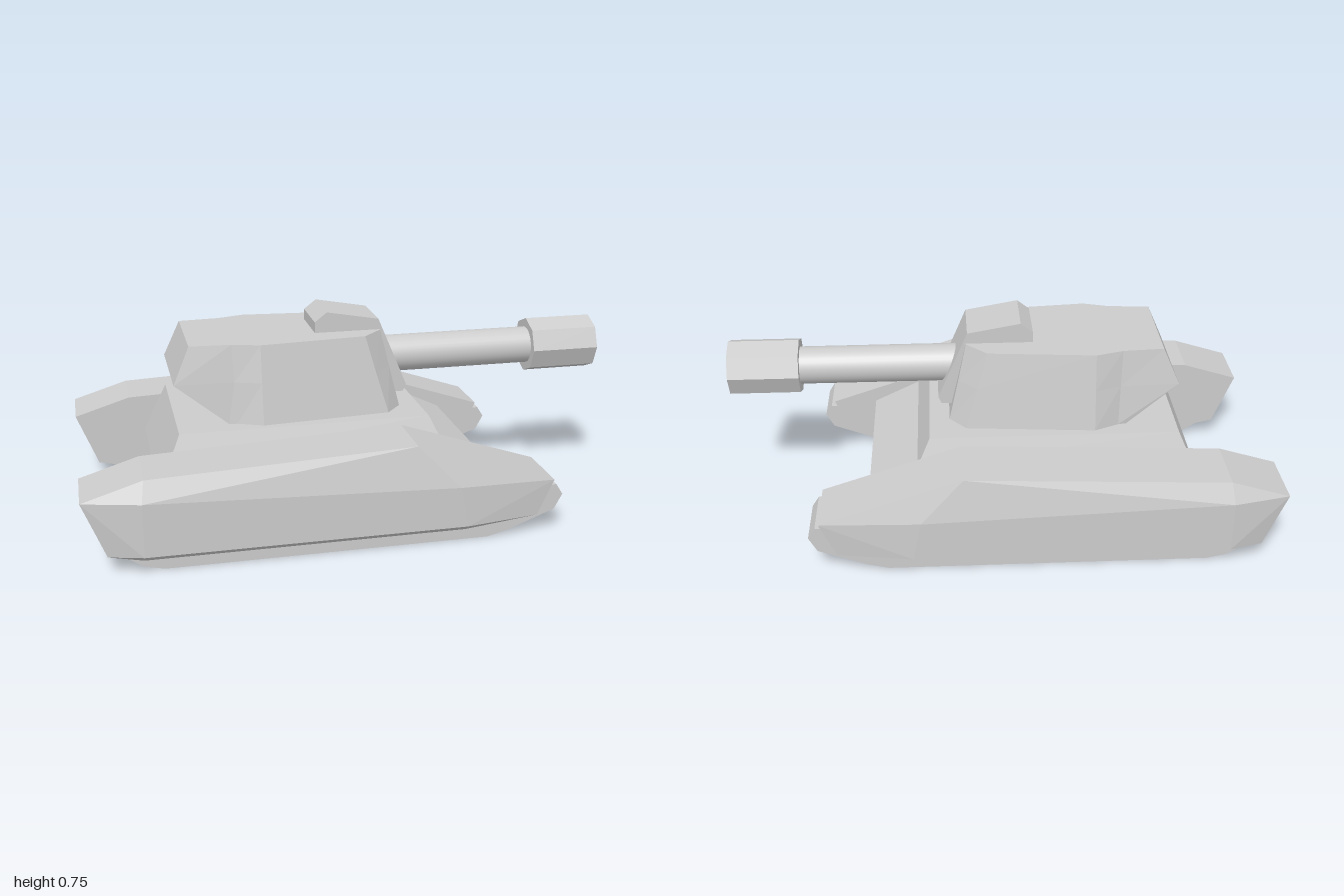
import * as THREE from 'three';
import { ConvexGeometry } from 'three/addons/geometries/ConvexGeometry.js';

const flat = new THREE.MeshStandardMaterial({ color: 0xcccccc, flatShading: true });
const smooth = new THREE.MeshStandardMaterial({ color: 0xcccccc });

function part(name, geometry, material = flat) {
  const mesh = new THREE.Mesh(geometry, material);
  mesh.name = name;
  return mesh;
}

// Faceted solid around a set of corner points
const solid = (points) => new ConvexGeometry(points.map((p) => new THREE.Vector3(...p)));

// Side profile (x, y) extruded between two z values
function slab(profile, z0, z1) {
  const shape = new THREE.Shape(profile.map((p) => new THREE.Vector2(...p)));
  return new THREE.ExtrudeGeometry(shape, { depth: z1 - z0, bevelEnabled: false }).translate(0, 0, z0);
}

// Skin over stacked rings of equal point count, closed by fans top and bottom
function loft(rings) {
  const n = rings[0].length;
  const pos = rings.flat(2);
  const idx = [];
  for (let r = 0; r < rings.length - 1; r++) {
    for (let i = 0; i < n; i++) {
      const a = r * n + i, b = r * n + (i + 1) % n;
      idx.push(a, b, b + n, a, b + n, a + n);
    }
  }
  const last = (rings.length - 1) * n;
  const centre = rings.length * n;
  pos.push(-0.2, rings[0][0][1], 0, -0.2, rings[rings.length - 1][0][1], 0);
  for (let i = 0; i < n; i++) {
    const j = (i + 1) % n;
    idx.push(centre, j, i, centre + 1, last + i, last + j);
  }
  const g = new THREE.BufferGeometry();
  g.setAttribute('position', new THREE.Float32BufferAttribute(pos, 3));
  g.setIndex(idx);
  g.computeVertexNormals();
  return g;
}

// Full ring from the +z half outline, listed rear to front
function ring(y, half) {
  const near = half.map(([x, z]) => [x, y, z]);
  const far = half.map(([x, z]) => [x, y, -z]).reverse();
  return [...near, ...far];
}

export function createModel() {
  const model = new THREE.Group();
  model.name = 'tank';

  // Lower hull with sloped nose, and the bevelled deck above it
  const hull = [[-0.69, 0.065], [0.46, 0.065], [0.49, 0.09], [0.49, 0.205], [0.312, 0.29], [-0.69, 0.29], [-0.73, 0.2]];
  model.add(part('hull', slab(hull, -0.325, 0.325)));
  const deck = [];
  for (const s of [-1, 1]) {
    deck.push([-0.69, 0.29, s * 0.325], [0.312, 0.29, s * 0.325], [-0.645, 0.39, s * 0.29], [0.265, 0.39, s * 0.29]);
  }
  model.add(part('deck', solid(deck)));

  // Track covers with bulged outer sides, and the treads beneath
  const cover = [[-1, 0.27], [-0.79, 0.335], [0.15, 0.375], [0.66, 0.205], [0.6, 0.075], [0.33, 0.045], [-0.8, 0.045], [-0.92, 0.07]];
  const bulge = [[-0.8, 0.262], [0.3, 0.22], [0.33, 0.07], [-0.8, 0.07]];
  const tread = [[-0.87, 0.06], [-0.8, 0.015], [-0.73, 0], [0.42, 0], [0.5, 0.02], [0.67, 0.085], [0.7, 0.14], [0.675, 0.18], [0.6, 0.18], [-0.8, 0.15]];
  for (const s of [1, -1]) {
    const side = s > 0 ? 'near' : 'far';
    const pts = [];
    for (const [x, y] of cover) pts.push([x, y, s * 0.325], [x, y, s * 0.55]);
    for (const [x, y] of bulge) pts.push([x, y, s * 0.583]);
    model.add(part(side + 'TrackCover', solid(pts)));
    model.add(part(side + 'Tread', slab(tread, s > 0 ? 0.333 : -0.535, s > 0 ? 0.535 : -0.333)));
  }

  // Turret with overhanging rear
  const turret = loft([
    ring(0.39, [[-0.46, 0.22], [-0.43, 0.225], [-0.34, 0.265], [0.13, 0.225], [0.19, 0.153]]),
    ring(0.54, [[-0.65, 0.2], [-0.435, 0.207], [-0.34, 0.241], [0.087, 0.204], [0.155, 0.131]]),
    ring(0.675, [[-0.59, 0.18], [-0.44, 0.19], [-0.34, 0.22], [0.05, 0.185], [0.125, 0.108]]),
  ]);
  model.add(part('turret', turret));

  // Gun shield wrapping over the turret roof and front
  const shield = [[-0.12, 0.62], [0.1, 0.45], [0.18, 0.428], [0.218, 0.428], [0.23, 0.455], [0.12, 0.715], [-0.075, 0.75], [-0.12, 0.715]];
  model.add(part('gunShield', slab(shield, -0.102, 0.102)));

  // Round barrel and hollow octagonal muzzle
  const barrel = new THREE.CylinderGeometry(0.07, 0.07, 0.64, 32).rotateZ(-Math.PI / 2).translate(0.44, 0.55, 0);
  model.add(part('barrel', barrel, smooth));
  const rim = [[0, 0], [0.105, 0], [0.105, 0.26], [0.078, 0.26], [0.078, 0.14], [0, 0.14]];
  const muzzle = new THREE.LatheGeometry(rim.map((p) => new THREE.Vector2(...p)), 8);
  model.add(part('muzzle', muzzle.rotateZ(-Math.PI / 2).translate(0.74, 0.55, 0)));

  return model;
}
